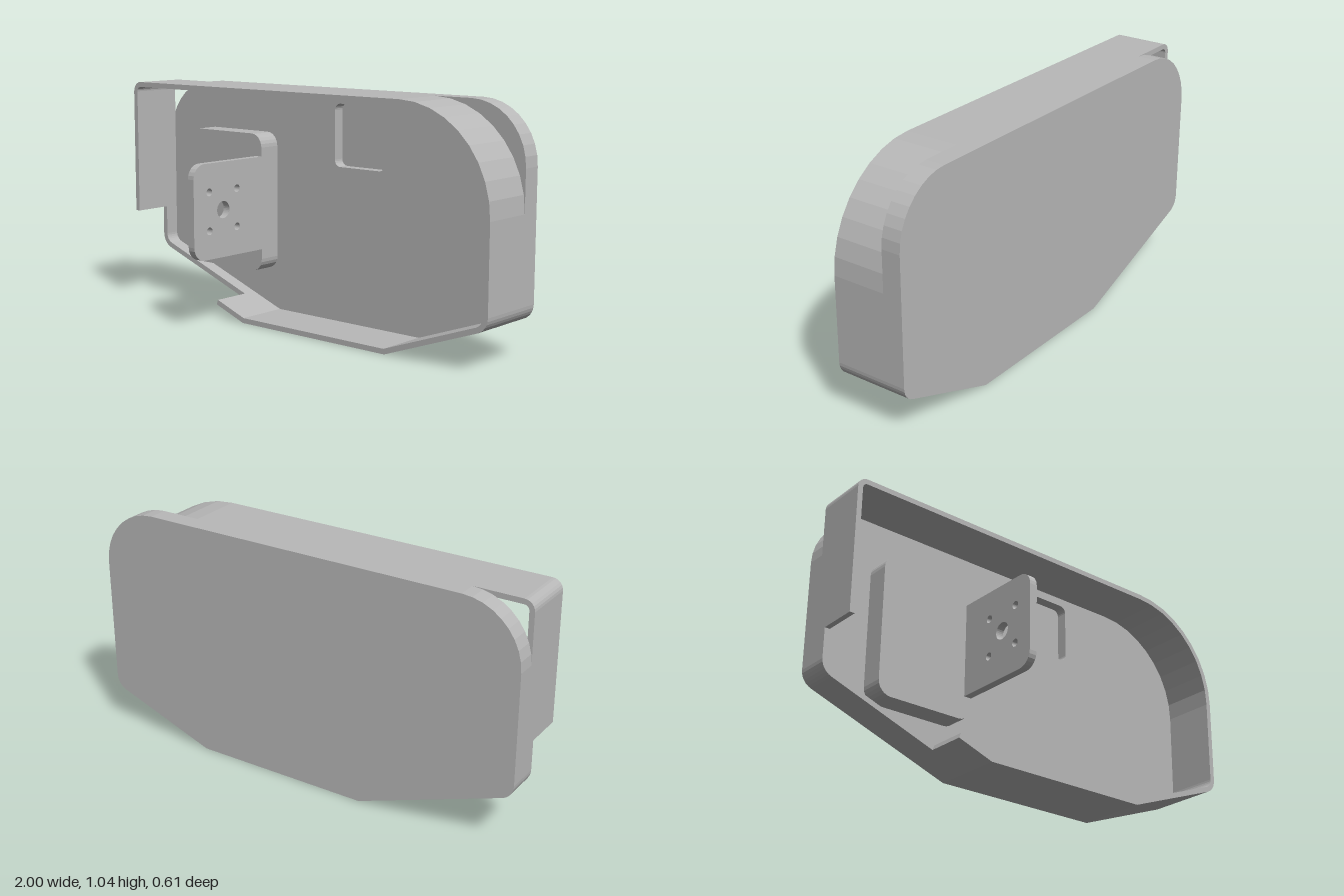
import * as THREE from 'three';

const BACK = -0.305, FLOOR = -0.22, NOTCH = -0.156, RIM = 0.02, WALL = 0.023, TOP = 1.045;
const V = (x, y) => new THREE.Vector2(x, y);

// Points along a counter-clockwise outline of [x, y, radius] corners, each rounded by an arc
function rounded(corners, closed = true) {
  const n = corners.length, out = [];
  corners.forEach(([x, y, r = 0], i) => {
    const p = V(x, y);
    if (r <= 0.001 || (!closed && (i === 0 || i === n - 1))) { out.push(p); return; }
    const a = corners[(i + n - 1) % n], b = corners[(i + 1) % n];
    const u = V(a[0], a[1]).sub(p).normalize(), w = V(b[0], b[1]).sub(p).normalize();
    const half = Math.acos(u.dot(w)) / 2, turn = Math.PI - 2 * half;
    const centre = u.clone().add(w).normalize().multiplyScalar(r / Math.sin(half)).add(p);
    const start = p.clone().addScaledVector(u, r / Math.tan(half)).sub(centre);
    const steps = r > 0.1 ? 9 : 6;
    for (let k = 0; k <= steps; k++) {
      out.push(start.clone().rotateAround(V(0, 0), turn * k / steps).add(centre));
    }
  });
  return out;
}

// Moves an open run of corners inward by t
function inset(corners, t) {
  const normals = corners.slice(1).map((c, i) =>
    V(-(c[1] - corners[i][1]), c[0] - corners[i][0]).normalize());
  return corners.map(([x, y, r = 0], i) => {
    const a = normals[Math.max(i - 1, 0)], b = normals[Math.min(i, normals.length - 1)];
    const m = a.clone().add(b).multiplyScalar(t / (1 + a.dot(b)));
    return [x + m.x, y + m.y, Math.max(r - t, 0)];
  });
}

const wallShape = run => new THREE.Shape([
  ...rounded(run, false), ...rounded(inset(run, WALL), false).reverse()]);

const rect = (x0, y0, x1, y1, r) =>
  rounded([[x0, y0, r], [x1, y0, r], [x1, y1, r], [x0, y1, r]]);

function extrude(shape, z0, z1) {
  const g = new THREE.ExtrudeGeometry(shape, { depth: z1 - z0, bevelEnabled: false, curveSegments: 16 });
  return g.translate(0, 0, z0);
}

export function createModel() {
  const model = new THREE.Group();
  const grey = new THREE.MeshStandardMaterial({ color: 0xb8b8b8 });
  grey.name = 'plain grey';
  const add = (name, geometry) => {
    const mesh = new THREE.Mesh(geometry, grey);
    mesh.name = name;
    model.add(mesh);
  };

  // Thick back slab, with a shallow square pocket in its front layer
  const outline = rounded([
    [-0.3, 0], [0.5, 0], [1, 0.182, 0.07], [1, TOP, 0.26], [-1, TOP, 0.26], [-1, 0.255, 0.07]]);
  add('backSlab', extrude(new THREE.Shape(outline), BACK, FLOOR - 0.05));
  const front = new THREE.Shape(outline);
  front.holes.push(new THREE.Path(rect(0.03, 0.71, 0.305, 0.985, 0.03)));
  add('pocketedFloor', extrude(front, FLOOR - 0.05, FLOOR));

  // Full-height wall, open at the lower left where a low wall carries on
  const cutLow = [-0.465, 0.06], cutHigh = [-1, 0.436];
  add('wall', extrude(wallShape([
    cutLow, [-0.3, 0], [0.5, 0], [1, 0.182, 0.07], [1, TOP, 0.44], [-1, TOP, 0.045], cutHigh]), FLOOR, RIM));
  add('lowWall', extrude(wallShape([cutHigh, [-1, 0.255, 0.07], cutLow]), FLOOR, NOTCH));

  // Mounting block and the drilled flange standing out of it
  const blockFront = -0.115;
  add('mountingBlock', extrude(new THREE.Shape(rect(-0.765, 0.21, -0.31, 0.835, 0.06)), FLOOR, blockFront));
  const flange = new THREE.Shape(rounded([
    [blockFront, 0.315], [0.305, 0.315, 0.063], [0.305, 0.735, 0.063], [blockFront, 0.735]]));
  const drill = (z, y, r) => flange.holes.push(new THREE.Path().absarc(z, y, r, 0, Math.PI * 2, true));
  drill(0.128, 0.525, 0.038);
  for (const z of [0.043, 0.212]) for (const y of [0.44, 0.61]) drill(z, y, 0.017);
  add('flange', extrude(flange, 0, 0.035).rotateY(-Math.PI / 2).translate(-0.31, 0, 0));

  return model;
}
